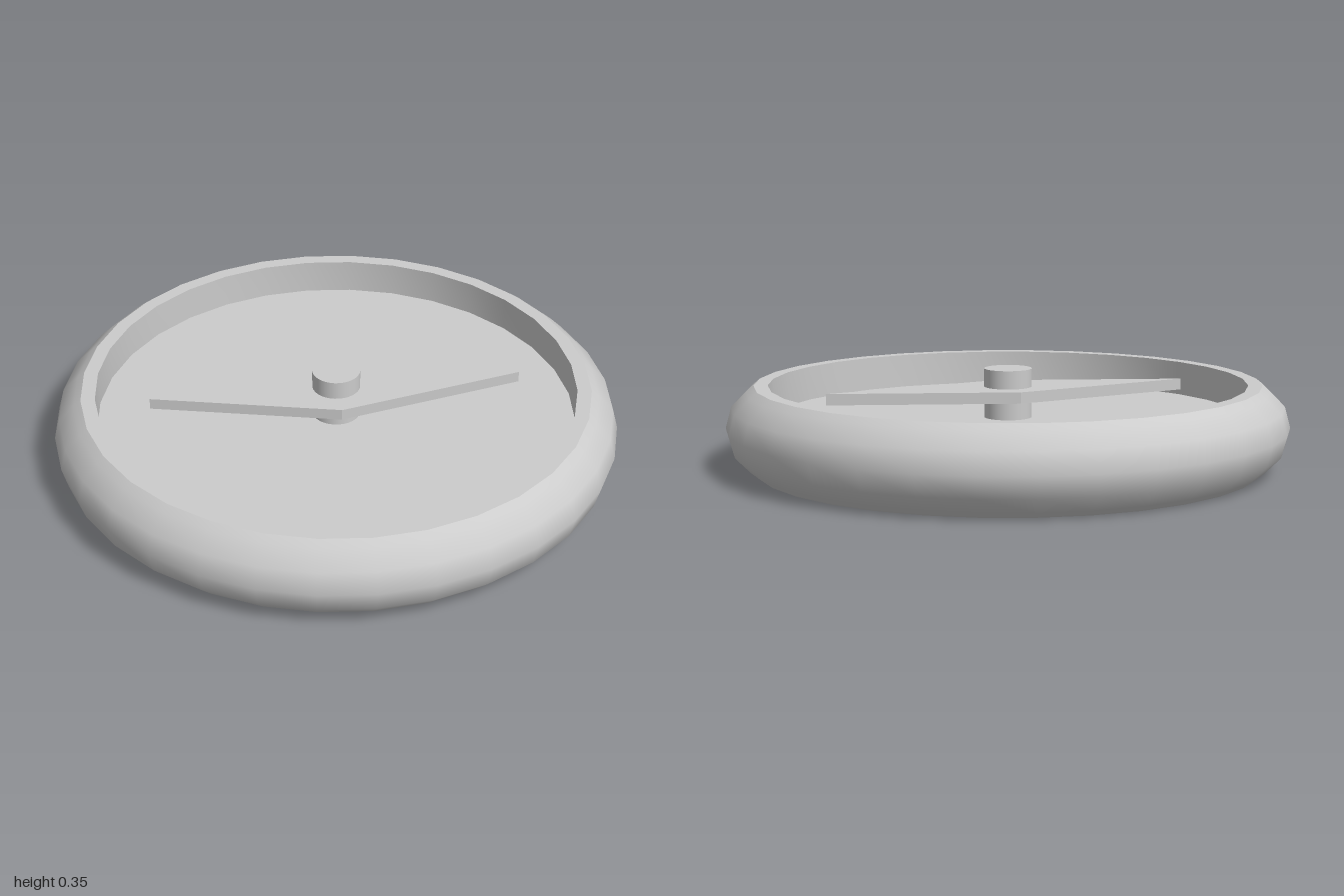
import * as THREE from 'three';
import { toCreasedNormals } from 'three/addons/utils/BufferGeometryUtils.js';

const RADIUS = 0.85, TUBE = 0.15, RIM = 0.9, FLOOR = 0.175, SIDES = 32;

export function createModel() {
  const model = new THREE.Group();
  model.name = 'compass';
  const material = new THREE.MeshStandardMaterial({ color: 0xcccccc });
  const add = (name, geometry, y) => {
    const mesh = new THREE.Mesh(geometry, material);
    mesh.name = name;
    mesh.position.y = y;
    model.add(mesh);
  };

  // Case: flat bottom, rounded side in 30 degree steps, flat rim, recessed dial
  const profile = [new THREE.Vector2(0, 0), new THREE.Vector2(RIM, 0)];
  for (let i = -2; i <= 2; i++) {
    const a = (i * Math.PI) / 6;
    profile.push(new THREE.Vector2(RADIUS + TUBE * Math.cos(a), TUBE + TUBE * Math.sin(a)));
  }
  profile.push(
    new THREE.Vector2(RIM, 2 * TUBE),
    new THREE.Vector2(RADIUS, 2 * TUBE),
    new THREE.Vector2(RADIUS, FLOOR),
    new THREE.Vector2(0, FLOOR)
  );
  add('case', toCreasedNormals(new THREE.LatheGeometry(profile, SIDES), 0.6), 0);

  // Diamond needle lying flat above the dial
  const diamond = new THREE.Shape([
    new THREE.Vector2(0.66, 0),
    new THREE.Vector2(0, 0.157),
    new THREE.Vector2(-0.66, 0),
    new THREE.Vector2(0, -0.157),
  ]);
  const needle = new THREE.ExtrudeGeometry(diamond, { depth: 0.04, bevelEnabled: false });
  needle.rotateX(-Math.PI / 2);
  add('needle', needle, 0.245);

  // Centre pin rising from the dial through the needle
  const pinHeight = 0.35 - FLOOR;
  add('pivotPin', new THREE.CylinderGeometry(0.085, 0.085, pinHeight, SIDES), FLOOR + pinHeight / 2);

  return model;
}
